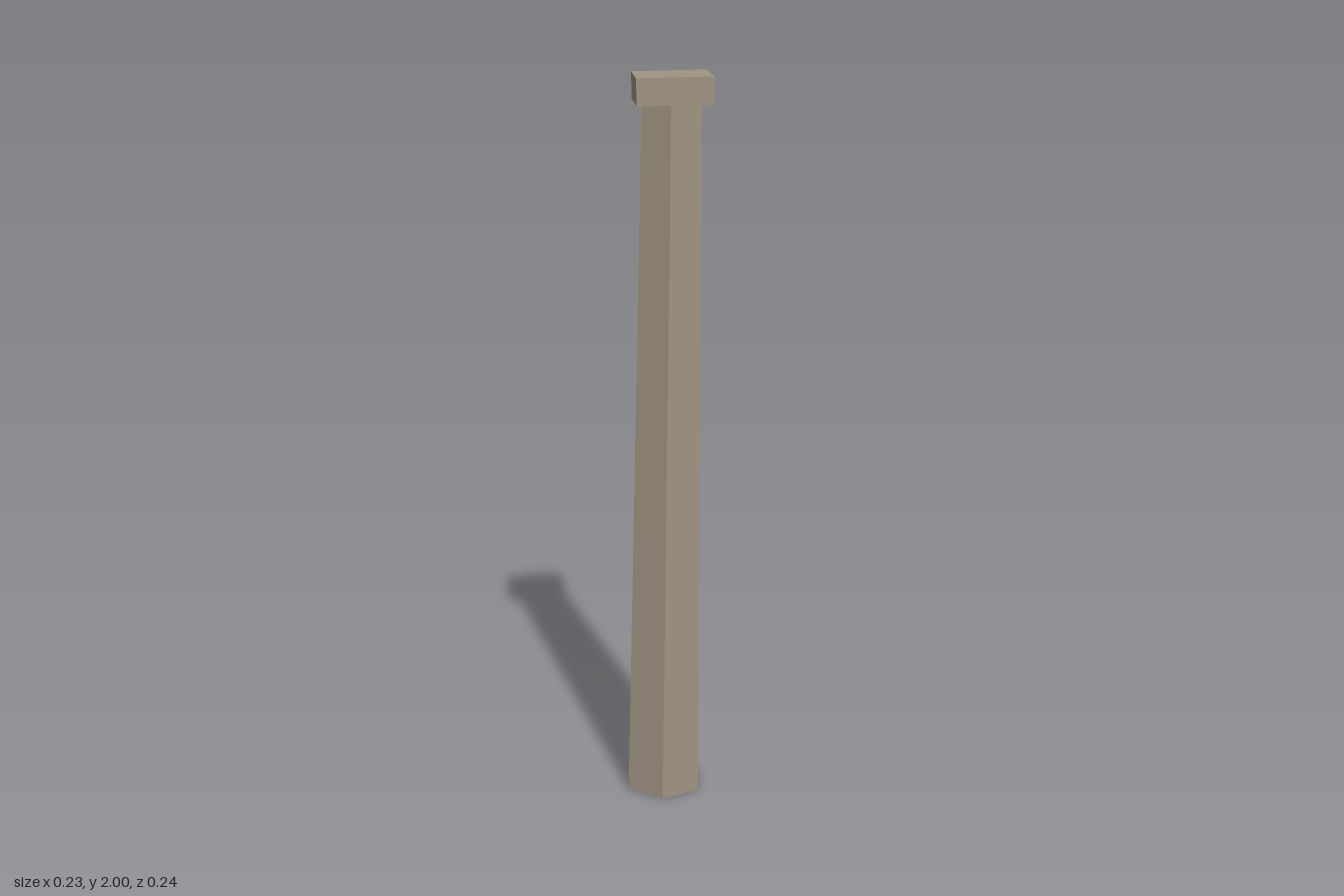
import * as THREE from 'three';

export function createModel() {
  const group = new THREE.Group();
  const stone = new THREE.MeshStandardMaterial({ color: 0xa09381, flatShading: true });
  stone.name = 'weathered stone';

  // Six-sided tapering shaft, leaning slightly to one side
  const base = new THREE.Vector3(-0.018, 0.0015, 0.005);
  const tip = new THREE.Vector3(0.006, 1.987, -0.007);
  const axis = tip.clone().sub(base);
  const shaft = new THREE.Mesh(
    new THREE.CylinderGeometry(0.088, 0.114, axis.length(), 6), stone);
  shaft.name = 'shaft';
  shaft.position.copy(base).add(tip).multiplyScalar(0.5);
  shaft.quaternion.setFromUnitVectors(new THREE.Vector3(0, 1, 0), axis.normalize());
  group.add(shaft);

  // Square cap slab, turned and tipped a little off level
  const cap = new THREE.Mesh(new THREE.BoxGeometry(0.199, 0.07, 0.2), stone);
  cap.name = 'cap';
  cap.position.set(0.006, 1.959, -0.011);
  cap.rotation.set(0.04, 0.104, 0.015);
  group.add(cap);

  return group;
}
